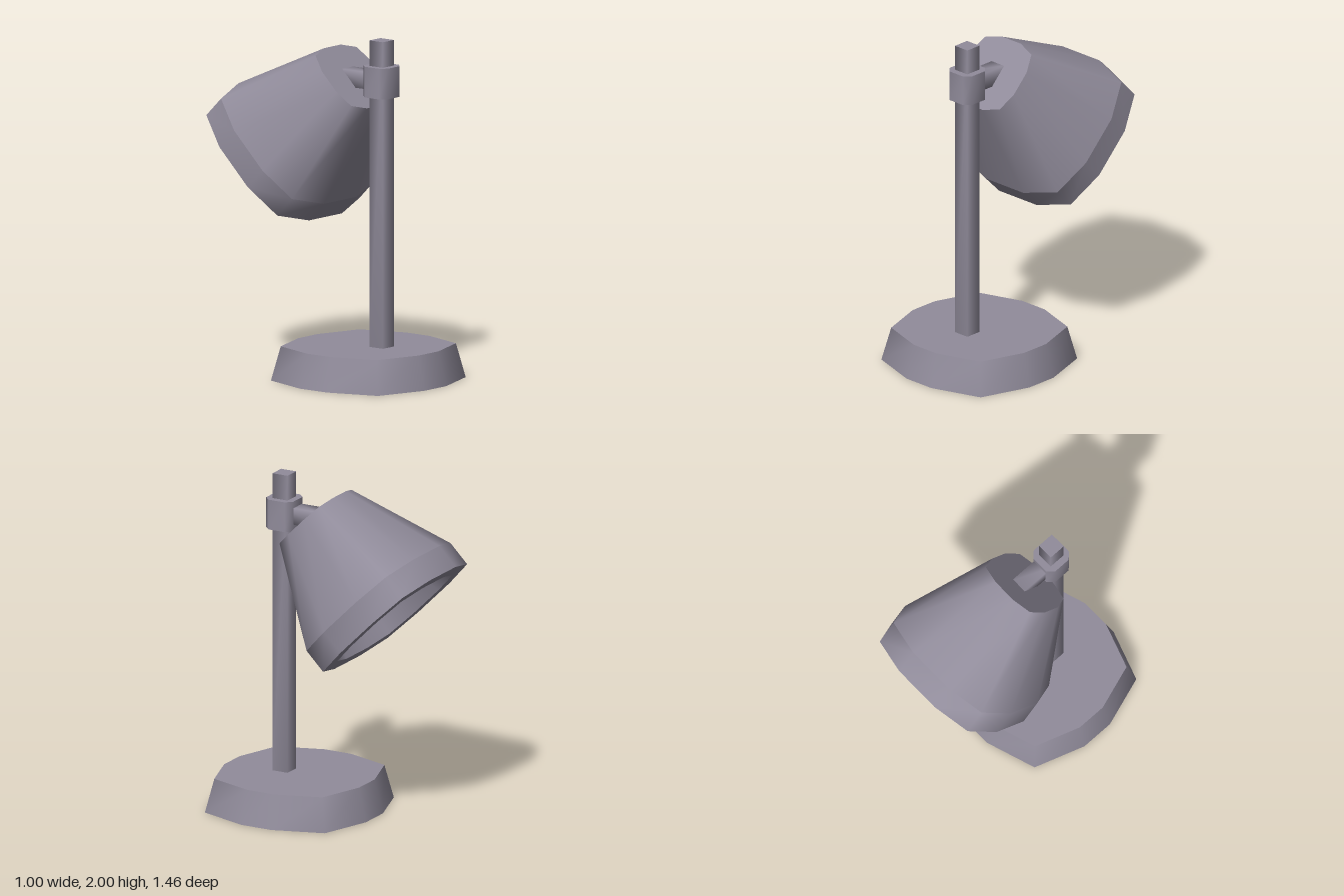
import * as THREE from 'three';

// Repeats one quarter of a cross-section around the y axis.
function section(quarter) {
  const points = [];
  for (let q = 0; q < 4; q++) {
    for (const [x, z] of quarter) {
      points.push([[x, z], [-z, x], [-x, -z], [z, -x]][q]);
    }
  }
  return points;
}

// Sweeps a [radius, height] profile around a polygonal section.
// Each band is smooth around its girth and sharp against the next band.
function loft(points, profile) {
  const position = [], index = [], n = points.length;
  for (let s = 0; s < profile.length - 1; s++) {
    const a = position.length / 3, b = a + n;
    for (const [r, y] of [profile[s], profile[s + 1]]) {
      for (const [x, z] of points) position.push(x * r, y, z * r);
    }
    for (let i = 0; i < n; i++) {
      const j = (i + 1) % n;
      if (profile[s][0] > 0) index.push(a + i, b + i, a + j);
      if (profile[s + 1][0] > 0) index.push(b + i, b + j, a + j);
    }
  }
  const geometry = new THREE.BufferGeometry();
  geometry.setAttribute('position', new THREE.Float32BufferAttribute(position, 3));
  geometry.setIndex(index);
  geometry.computeVertexNormals();
  return geometry;
}

// Closed prism profile between two heights.
const solid = (r, y0, y1) => [[0, y0], [r, y0], [r, y1], [0, y1]];

export function createModel() {
  const model = new THREE.Group();
  model.name = 'deskLamp';
  const metal = new THREE.MeshStandardMaterial({ color: 0x918c9b, side: THREE.DoubleSide });
  metal.name = 'greyMetal';

  function add(name, geometry, x, y, z, tilt = 0) {
    const mesh = new THREE.Mesh(geometry, metal);
    mesh.name = name;
    mesh.position.set(x, y, z);
    mesh.rotation.x = tilt;
    model.add(mesh);
  }

  const square = section([[1, 1]]);
  const octagon = section([[1, 0.6], [0.6, 1]]);
  const baseOutline = section([[1, 0.2], [0.8, 0.8], [0.2, 1]]);
  const shadeOutline = section([[1, 0.333], [0.833, 0.833], [0.333, 1]]);

  // Hollow foot, open underneath
  add('base', loft(baseOutline, [[0.5, 0], [0.45, 0.2], [0, 0.2]]), 0, 0, 0.23);

  // Upright pole with its sliding collar and the short arm to the shade
  add('pole', loft(square, solid(0.05, 0.2, 2)), 0, 0, 0.33);
  add('collar', loft(octagon, solid(0.09, 1.67, 1.85)), 0, 0, 0.33);
  add('arm', loft(square, solid(0.05, 0.06, 0.3)), 0, 1.76, 0, Math.PI / 2);

  // Tilted shade: inner cap, inner wall, rim, straight band, cone, outer cap
  add('shade', loft(shadeOutline, [
    [0, 0.46], [0.215, 0.46], [0.36, 0], [0.45, 0], [0.45, 0.155], [0.225, 0.75], [0, 0.75],
  ]), 0, 1.233, -0.408, Math.PI / 4);

  return model;
}
